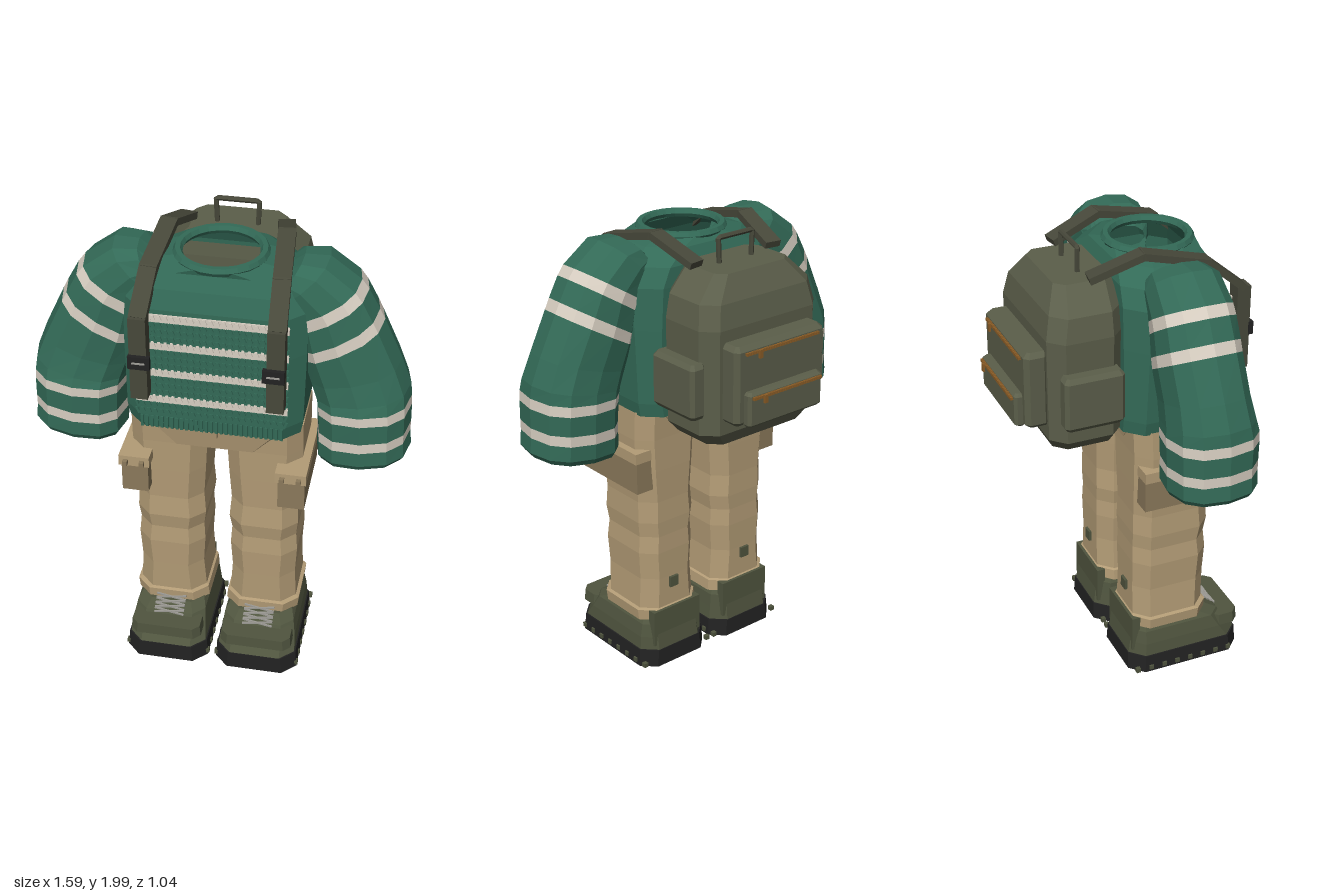
import * as THREE from 'three';
import { mergeGeometries } from 'three/addons/utils/BufferGeometryUtils.js';

function material(name, color, open = false) {
  const m = new THREE.MeshStandardMaterial({ color, flatShading: true });
  m.name = name;
  if (open) m.side = THREE.DoubleSide;
  return m;
}

// Octagonal ring: a rectangle in x and z with cut corners
function ring(y, x0, x1, z0, z1, c) {
  return [[x1, z0 + c], [x1, z1 - c], [x1 - c, z1], [x0 + c, z1],
    [x0, z1 - c], [x0, z0 + c], [x0 + c, z0], [x1 - c, z0]].map(([x, z]) => new THREE.Vector3(x, y, z));
}

// Skin over rings; groupOf gives the material index of each band
function loft(rings, { start = false, end = false, groupOf = () => 0 } = {}) {
  const pos = [], geo = new THREE.BufferGeometry(), n = rings[0].length;
  const tri = (...p) => p.forEach(v => pos.push(v.x, v.y, v.z));
  const cap = (r, flip) => {
    const c = r.reduce((s, v) => s.add(v), new THREE.Vector3()).divideScalar(n);
    const from = pos.length / 3;
    r.forEach((v, k) => flip ? tri(c, r[(k + 1) % n], v) : tri(c, v, r[(k + 1) % n]));
    geo.addGroup(from, n * 3, 0);
  };
  if (start) cap(rings[0], false);
  for (let i = 0; i < rings.length - 1; i++) {
    const a = rings[i], b = rings[i + 1];
    geo.addGroup(pos.length / 3, n * 6, groupOf(i));
    for (let k = 0; k < n; k++) {
      const j = (k + 1) % n;
      tri(a[k], b[k], a[j]);
      tri(a[j], b[k], b[j]);
    }
  }
  if (end) cap(rings[rings.length - 1], true);
  geo.setAttribute('position', new THREE.Float32BufferAttribute(pos, 3));
  geo.computeVertexNormals();
  return geo;
}

export function createModel() {
  const root = new THREE.Group();
  const green = material('greenKnit', 0x336a57, true);
  const cream = material('creamStripe', 0xd8cfc2);
  const tan = material('tanTrousers', 0xb39c76, true);
  const brown = material('brownPocket', 0x8b795b);
  const olive = material('olivePack', 0x5b5e4a);
  const boot = material('bootOlive', 0x50553f);
  const strap = material('strapOlive', 0x47483a);
  const black = material('blackRubber', 0x222222);
  const copper = material('copperZip', 0x8a5c26);
  const grey = material('greyLace', 0x9c9a94);

  const add = (name, geo, mat, x = 0, y = 0, z = 0) => {
    const m = new THREE.Mesh(geo, mat);
    m.name = name;
    m.position.set(x, y, z);
    root.add(m);
    return m;
  };
  const box = (name, mat, x0, x1, y0, y1, z0, z1) => add(name,
    new THREE.BoxGeometry(Math.abs(x1 - x0), y1 - y0, z1 - z0), mat, (x0 + x1) / 2, (y0 + y1) / 2, (z0 + z1) / 2);
  const beam = (name, mat, a, b, w, t) => {
    const p = new THREE.Vector3(...a), q = new THREE.Vector3(...b);
    const m = add(name, new THREE.BoxGeometry(w, t, p.distanceTo(q) + t * 0.5), mat);
    m.position.copy(p).lerp(q, 0.5);
    m.lookAt(q);
  };
  // Box with bevelled rim, its large face towards -z
  const pouch = (name, mat, x, y0, y1, z0, z1, bev) => add(name, loft([
    ring(y0, -x + bev, x - bev, z0 + bev, z1, 0.01), ring(y0 + bev, -x, x, z0, z1, bev),
    ring(y1 - bev, -x, x, z0, z1, bev), ring(y1, -x + bev, x - bev, z0 + bev, z1, 0.01)], { start: true, end: true }), mat);

  // Sweater body, hem ribs and collar
  const body = [[1.22, 0.355, -0.06, 0.395, 0.07], [1.28, 0.365, -0.06, 0.4, 0.07], [1.6, 0.37, -0.06, 0.4, 0.08],
    [1.78, 0.37, -0.06, 0.395, 0.09], [1.86, 0.34, -0.055, 0.37, 0.1], [1.92, 0.26, -0.03, 0.34, 0.11], [1.945, 0.175, -0.005, 0.345, 0.102]];
  add('sweaterBody', loft(body.map(([y, x, z0, z1, c]) => ring(y, -x, x, z0, z1, c))), green);
  const collar = add('collar', new THREE.TorusGeometry(0.173, 0.02, 6, 24), green, 0, 1.945, 0.17);
  collar.rotation.x = Math.PI / 2;
  const ribs = [];
  for (let i = -14; i <= 14; i++) ribs.push(new THREE.BoxGeometry(0.012, 0.055, 0.01).translate(i * 0.0205, 1.25, 0.4));
  add('hemRibs', mergeGeometries(ribs), green);

  // Knitted chest panel: rows of V stitches, every fourth row cream
  const knit = { green: [], cream: [] };
  for (let r = 0; r < 15; r++) {
    const y = 1.302 + r * 0.0317, list = r % 4 === 2 ? knit.cream : knit.green;
    if (list === knit.cream) list.push(new THREE.BoxGeometry(0.62, 0.034, 0.006).translate(0, y, 0.401));
    for (let c = 0; c < 24; c++) for (const s of [-1, 1])
      list.push(new THREE.BoxGeometry(0.009, 0.03, 0.006).rotateZ(-s * 0.35).translate((c - 11.5) * 0.0258 + s * 0.0062, y, 0.406));
  }
  add('knitPanel', mergeGeometries(knit.green), green);
  add('knitStripes', mergeGeometries(knit.cream), cream);

  // Sleeve sections: outer x, y, inner x, y, half depth, centre z
  const sleeve = [[0.24, 1.89, 0.2, 1.75, 0.1, 0.165], [0.33, 1.96, 0.22, 1.8, 0.13, 0.165], [0.43, 1.962, 0.24, 1.77, 0.155, 0.165],
    [0.555, 1.87, 0.29, 1.7, 0.165, 0.165], [0.585, 1.83, 0.31, 1.655, 0.167, 0.165], [0.632, 1.745, 0.325, 1.56, 0.17, 0.165],
    [0.655, 1.7, 0.335, 1.515, 0.17, 0.165], [0.735, 1.53, 0.365, 1.42, 0.17, 0.17], [0.778, 1.42, 0.39, 1.35, 0.18, 0.175],
    [0.785, 1.365, 0.395, 1.325, 0.188, 0.18], [0.788, 1.32, 0.4, 1.285, 0.188, 0.18], [0.79, 1.235, 0.405, 1.195, 0.185, 0.18],
    [0.79, 1.19, 0.405, 1.15, 0.185, 0.18], [0.797, 1.125, 0.405, 1.085, 0.185, 0.18], [0.78, 1.1, 0.42, 1.06, 0.17, 0.18],
    [0.75, 1.11, 0.45, 1.085, 0.14, 0.18], [0.75, 1.15, 0.45, 1.125, 0.14, 0.18]];
  const striped = [3, 5, 9, 11];
  const soft = v => Math.sign(v) * Math.abs(v) ** 0.8;
  for (const s of [1, -1]) {
    const rings = sleeve.map(([ox, oy, ix, iy, rz, cz]) => Array.from({ length: 12 }, (_, k) => {
      const t = k / 12 * Math.PI * 2, u = soft(Math.cos(t)) / 2;
      return new THREE.Vector3(s * ((ox + ix) / 2 + u * (ox - ix)), (oy + iy) / 2 + u * (oy - iy), cz - s * rz * soft(Math.sin(t)));
    }));
    add('sleeve', loft(rings, { end: true, groupOf: i => striped.includes(i) ? 1 : 0 }), [green, cream]);
  }

  // Trousers: open hip band, two hollow legs and a fly seam
  add('hips', loft([ring(1.1, -0.21, 0.21, -0.012, 0.342, 0.05), ring(1.25, -0.355, 0.355, -0.03, 0.37, 0.07)]), tan);
  box('flySeam', brown, 0.012, 0.018, 1.17, 1.22, 0.352, 0.366);
  const leg = [[0.22, 0.36, 0.04, -0.015, 0.335], [0.27, 0.365, 0.045, -0.015, 0.338], [0.275, 0.35, 0.055, -0.01, 0.325], [0.42, 0.343, 0.065, -0.01, 0.33],
    [0.55, 0.35, 0.057, -0.012, 0.335], [0.63, 0.343, 0.062, -0.01, 0.328], [0.7, 0.35, 0.052, -0.012, 0.338],
    [0.8, 0.347, 0.06, -0.01, 0.33], [0.95, 0.357, 0.05, -0.013, 0.336], [1.1, 0.364, 0.042, -0.015, 0.34], [1.23, 0.362, 0.04, -0.02, 0.35]];

  for (const s of [1, -1]) {
    const rect = (y, a, b, z0, z1, c) => ring(y, Math.min(s * a, s * b), Math.max(s * a, s * b), z0, z1, c);
    const part = (name, mat, a, b, ...rest) => box(name, mat, s * a, s * b, ...rest);
    add('trouserLeg', loft(leg.map(([y, o, i, z0, z1]) => rect(y, i, o, z0, z1, 0.06))), tan);
    part('legPatch', boot, 0.185, 0.23, 0.365, 0.415, -0.022, -0.008);

    // Thigh pocket with flap and buttons
    part('thighPocket', brown, 0.275, 0.388, 0.868, 1.04, 0, 0.39);
    part('pocketFlap', tan, 0.265, 0.395, 1.01, 1.058, -0.003, 0.41);
    for (const x of [0.295, 0.365]) part('pocketButton', brown, x - 0.01, x + 0.01, 1.022, 1.042, 0.41, 0.43);

    // Boot: sole, upper, toe band, heel counter, laces, studs
    add('bootSole', loft([rect(0, 0.018, 0.385, -0.045, 0.492, 0.06), rect(0.08, 0.024, 0.378, -0.042, 0.488, 0.06)], { start: true, end: true }), black);
    add('bootUpper', loft([rect(0.08, 0.03, 0.372, -0.038, 0.485, 0.06), rect(0.14, 0.038, 0.367, -0.03, 0.44, 0.055),
      rect(0.2, 0.045, 0.355, -0.022, 0.4, 0.05), rect(0.225, 0.06, 0.34, -0.015, 0.35, 0.05)], { end: true }), boot);
    add('toeBand', loft([rect(0.135, 0.045, 0.36, 0.36, 0.49, 0.03), rect(0.188, 0.05, 0.355, 0.36, 0.488, 0.03)], { start: true, end: true }), boot);
    part('heelCounter', boot, 0.07, 0.33, 0.1, 0.27, -0.028, 0.01);
    for (let i = 0; i < 4; i++) for (const d of [-1, 1])
      beam('lace', grey, [s * 0.2 - d * 0.065, 0.25 - i * 0.014, 0.345 + i * 0.017], [s * 0.2 + d * 0.065, 0.238 - i * 0.014, 0.358 + i * 0.017], 0.007, 0.007);
    for (let i = 0; i < 8; i++) for (const x of [0.022, 0.38])
      part('soleStud', boot, x - 0.01, x + 0.01, 0.012, 0.032, -0.03 + i * 0.064, -0.01 + i * 0.064);

    // Shoulder strap with front pad and buckle
    const path = [[0.205, 1.9, -0.17], [0.238, 1.978, 0.04], [0.262, 1.915, 0.31], [0.272, 1.785, 0.465]].map(([x, y, z]) => [s * x, y, z]);
    for (let i = 0; i < 3; i++) beam('shoulderStrap', strap, path[i], path[i + 1], 0.072, 0.03);
    part('strapPad', strap, 0.237, 0.307, 1.42, 1.79, 0.435, 0.495);
    part('buckle', black, 0.222, 0.31, 1.57, 1.627, 0.49, 0.512);
    part('buckleBar', grey, 0.24, 0.292, 1.597, 1.603, 0.511, 0.517);

    // Side pocket of the pack
    add('packSidePocket', loft([rect(1.31, 0.29, 0.35, -0.325, -0.095, 0.01), rect(1.33, 0.29, 0.365, -0.34, -0.08, 0.015),
      rect(1.53, 0.29, 0.365, -0.34, -0.08, 0.015), rect(1.55, 0.29, 0.35, -0.325, -0.095, 0.01)], { start: true, end: true }), olive);
  }

  // Backpack body
  const pack = [[1.17, 0.25, -0.34, -0.06, 0.05], [1.23, 0.305, -0.37, -0.05, 0.06], [1.68, 0.31, -0.375, -0.05, 0.06],
    [1.78, 0.29, -0.355, -0.05, 0.06], [1.88, 0.19, -0.305, -0.06, 0.04]];
  add('packBody', loft(pack.map(([y, x, z0, z1, c]) => ring(y, -x, x, z0, z1, c)), { start: true, end: true }), olive);

  // Rear pockets and zips
  pouch('rearPocket', olive, 0.24, 1.29, 1.63, -0.463, -0.36, 0.02);
  pouch('lowerRearPocket', olive, 0.2, 1.29, 1.44, -0.497, -0.45, 0.012);
  for (const [y, z, w] of [[1.6, -0.468, 0.19], [1.42, -0.502, 0.18]]) {
    const teeth = [];
    for (let i = -14; i <= 14; i++) teeth.push(new THREE.BoxGeometry(0.009, 0.012, 0.014).translate(i / 14 * w, y, z));
    add('zip', mergeGeometries(teeth), copper);
    box('zipPull', copper, 0.122, 0.138, y - 0.025, y + 0.01, z - 0.018, z - 0.008);
  }

  // Carry handle
  const handle = [[-0.085, 1.87, -0.175], [-0.09, 1.985, -0.175], [0.09, 1.985, -0.175], [0.085, 1.87, -0.175]].map(p => new THREE.Vector3(...p));
  const curve = new THREE.CurvePath();
  for (let i = 0; i < 3; i++) curve.add(new THREE.LineCurve3(handle[i], handle[i + 1]));
  add('carryHandle', new THREE.TubeGeometry(curve, 40, 0.011, 6), strap);
  return root;
}
